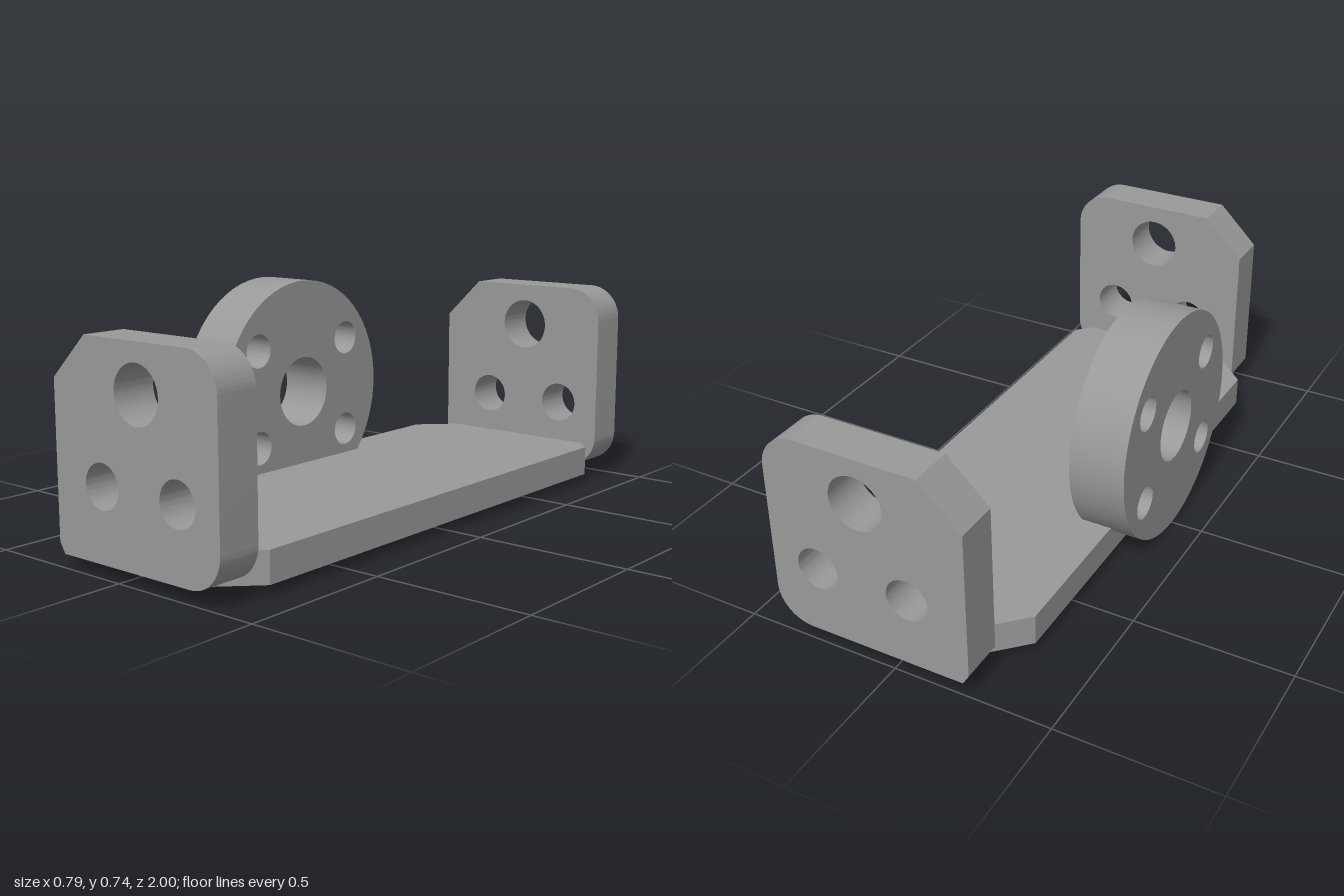
import * as THREE from 'three';
import { toCreasedNormals } from 'three/addons/utils/BufferGeometryUtils.js';

const steel = new THREE.MeshStandardMaterial({ color: 0x999999 });
steel.name = 'grey steel';

function addHole(shape, x, y, r) {
  const hole = new THREE.Path();
  hole.absarc(x, y, r, 0, Math.PI * 2, true);
  shape.holes.push(hole);
}

// Extrude a shape by depth, centred on its thickness, with smooth round walls
function slab(name, shape, depth) {
  const geometry = new THREE.ExtrudeGeometry(shape, { depth, bevelEnabled: false, curveSegments: 32 });
  geometry.translate(0, 0, -depth / 2);
  const mesh = new THREE.Mesh(toCreasedNormals(geometry, 0.4), steel);
  mesh.name = name;
  return mesh;
}

// Upright end plate: two rounded corners, two clipped corners, three holes
function endPlateShape() {
  const x0 = -0.245, x1 = 0.392, y0 = 0.042, y1 = 0.675, r = 0.112;
  const s = new THREE.Shape();
  s.moveTo(-0.225, y0);
  s.lineTo(x1 - r, y0);
  s.absarc(x1 - r, y0 + r, r, -Math.PI / 2, 0, false);
  s.lineTo(x1, y1 - r);
  s.absarc(x1 - r, y1 - r, r, 0, Math.PI / 2, false);
  s.lineTo(-0.112, y1);
  s.lineTo(x0, 0.545);
  s.lineTo(x0, 0.075);
  s.closePath();
  addHole(s, 0.09, 0.533, 0.086);
  addHole(s, -0.056, 0.263, 0.067);
  addHole(s, 0.239, 0.263, 0.067);
  return s;
}

// Flat base outline in x and z, with clipped corners
function baseShape() {
  const half = [[0.385, 0.81], [0.245, 0.95], [-0.112, 0.95], [-0.312, 0.75]];
  const mirrored = half.map(([x, z]) => [x, -z]).reverse();
  return new THREE.Shape([...half, ...mirrored].map(([x, z]) => new THREE.Vector2(x, z)));
}

// Round flange with a centre bore and four bolt holes
function flangeShape() {
  const s = new THREE.Shape();
  s.absarc(0, 0, 0.368, 0, Math.PI * 2, false);
  addHole(s, 0, 0, 0.115);
  for (const u of [-1, 1]) for (const v of [-1, 1]) addHole(s, u * 0.213, v * 0.158, 0.055);
  return s;
}

export function createModel() {
  const model = new THREE.Group();
  model.name = 'mountingBracket';

  const base = slab('basePlate', baseShape(), 0.097);
  base.rotation.x = Math.PI / 2;
  base.position.y = 0.0785;
  model.add(base);

  for (const [name, side] of [['frontEndPlate', 1], ['backEndPlate', -1]]) {
    const plate = slab(name, endPlateShape(), 0.14);
    plate.position.z = side * 0.93;
    model.add(plate);
  }

  const flange = slab('roundFlange', flangeShape(), 0.18);
  flange.rotation.y = Math.PI / 2;
  flange.position.set(-0.305, 0.369, 0);
  model.add(flange);

  return model;
}
